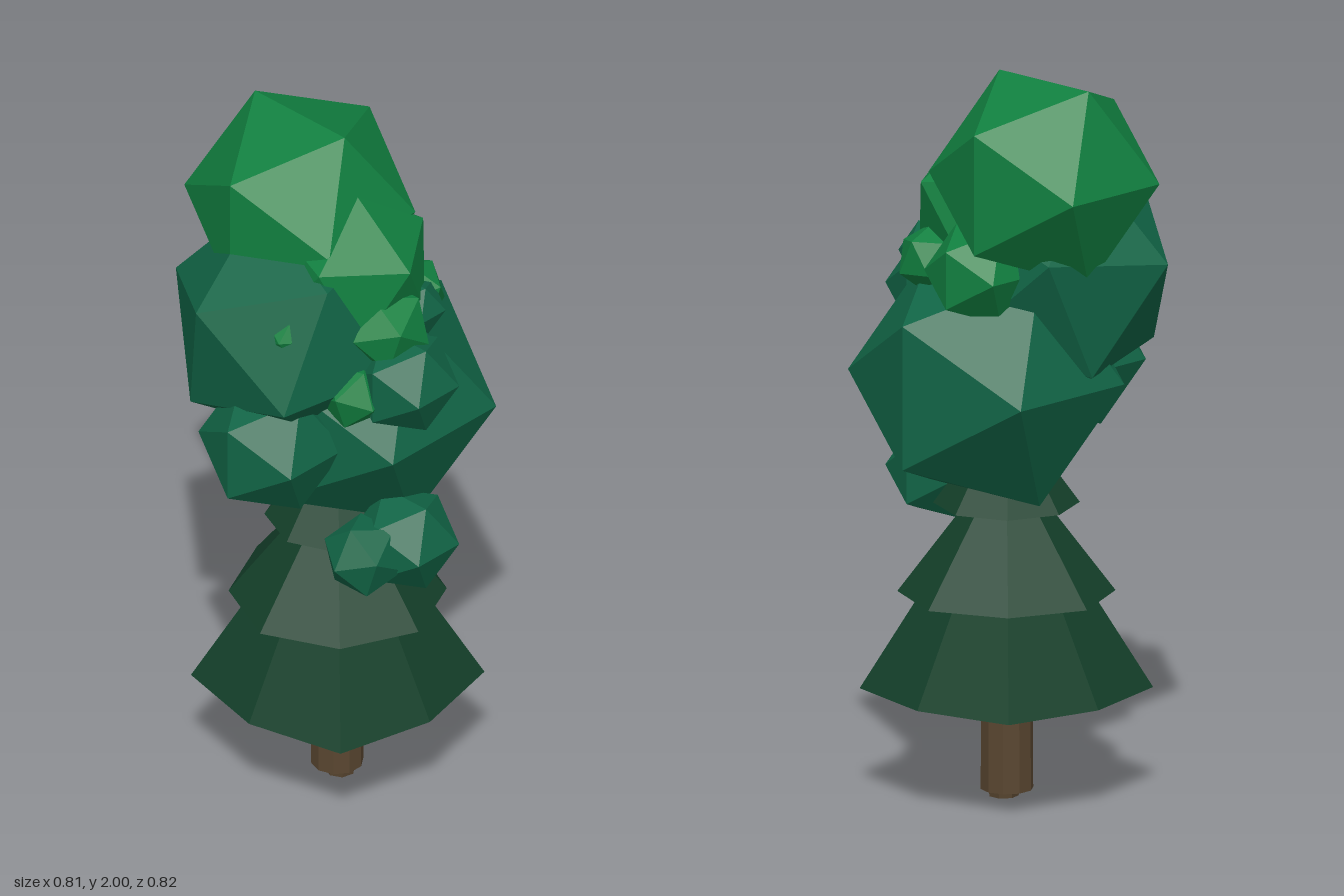
import * as THREE from 'three';

const V = (a) => new THREE.Vector3(...a);
const mat = (color) => new THREE.MeshStandardMaterial({ color, flatShading: true });

export function createModel() {
  const model = new THREE.Group();
  const bright = mat(0x118040), teal = mat(0x116546), dark = mat(0x14402a);
  const bark = mat(0x594630), twigBark = mat(0x6b4428);

  const add = (name, geometry, material, pos = [0, 0, 0]) => {
    const mesh = new THREE.Mesh(geometry, material);
    mesh.name = name;
    mesh.position.set(...pos);
    model.add(mesh);
    return mesh;
  };

  // Faceted leaf clump; a and b are the directions of two neighbouring corners
  const clump = (name, material, pos, r, a, b) => {
    const mesh = add(name, new THREE.IcosahedronGeometry(r, 0), material, pos);
    if (a) {
      const va = V(a).normalize(), vb = V(b).normalize();
      const z = va.clone().add(vb).normalize();
      const y = va.sub(vb);
      y.addScaledVector(z, -y.dot(z)).normalize();
      const x = new THREE.Vector3().crossVectors(y, z);
      mesh.quaternion.setFromRotationMatrix(new THREE.Matrix4().makeBasis(x, y, z));
    }
  };

  // Trunk with a small root stub
  add('trunk', new THREE.CylinderGeometry(0.065, 0.071, 1.0, 10), bark, [0.016, 0.525, -0.016]);
  add('rootStub', new THREE.CylinderGeometry(0.045, 0.04, 0.04, 7), bark, [0.03, 0.022, -0.014]);

  // Eight-sided skirts: base height, apex height, axis radius, diagonal radius
  [[0.3, 0.93, 0.34, 0.39], [0.567, 0.95, 0.298, 0.29], [0.81, 1.08, 0.195, 0.195]].forEach(([y0, y1, ra, rd], i) => {
    const g = new THREE.ConeGeometry(1, y1 - y0, 8);
    const p = g.attributes.position;
    for (let k = 0; k < p.count; k++) {
      const x = p.getX(k), z = p.getZ(k);
      const s = Math.abs(x * z) > 0.1 ? rd : ra;
      p.setX(k, x * s);
      p.setZ(k, z * s);
    }
    add('skirt' + (i + 1), g, dark, [0.017, (y0 + y1) / 2, -0.017]);
  });

  // Twigs
  const twig = (name, pts) =>
    add(name, new THREE.TubeGeometry(new THREE.CatmullRomCurve3(pts.map(V)), 6, 0.018, 6), twigBark);
  twig('leftTwig', [[0.02, 0.86, 0], [0.1, 0.77, 0.05], [0.18, 0.77, 0.08], [0.25, 0.84, 0.06]]);
  twig('rightTwig', [[0.02, 0.76, 0], [-0.05, 0.79, 0.02], [-0.09, 0.82, 0.02]]);

  // Large clumps
  clump('crown', bright, [-0.137, 1.733, -0.032], 0.314);
  clump('backClump', teal, [0.021, 1.168, -0.09], 0.376);
  clump('frontClump', teal, [-0.062, 1.44, 0.086], 0.345, [-0.043, 0.141, 0.304], [0.242, 0.241, 0.104]);
  clump('upperClump', bright, [0.06, 1.61, -0.02], 0.235, [0.13, 1, 0], [0.9, 0.33, 0]);

  // Medium clumps
  clump('lowerFrontClump', teal, [0.022, 1.165, 0.24], 0.2);
  clump('leftClump', teal, [0.277, 1.357, -0.005], 0.147);
  clump('lowLeftClump', teal, [0.277, 0.855, -0.005], 0.147);
  clump('lowFrontClump', teal, [0.25, 0.85, 0.125], 0.113, [0, 0, 1], [0, 0.894, 0.447]);
  clump('rearClump', bright, [-0.06, 1.49, -0.2], 0.15);

  // Small tufts between the large clumps
  clump('leftTuft', bright, [0.21, 1.5, 0], 0.125, [0, 0.9, 0.4], [0.8, 0.3, 0.4]);
  clump('lowerTuft', bright, [0.19, 1.33, 0.1], 0.1, [0.2, 0.3, 0.9], [0.2, -0.75, 0.5]);
  clump('frontTuft', bright, [0.06, 1.53, 0.19], 0.12, [0.35, 0.05, 0.9], [0.95, 0, 0.05]);
  clump('rearLeftTuft', teal, [0.185, 1.49, -0.13], 0.09);
  clump('rearTuft', bright, [0.13, 1.49, -0.18], 0.1, [0, 0.6, -0.8], [0.9, 0.4, -0.2]);
  return model;
}
